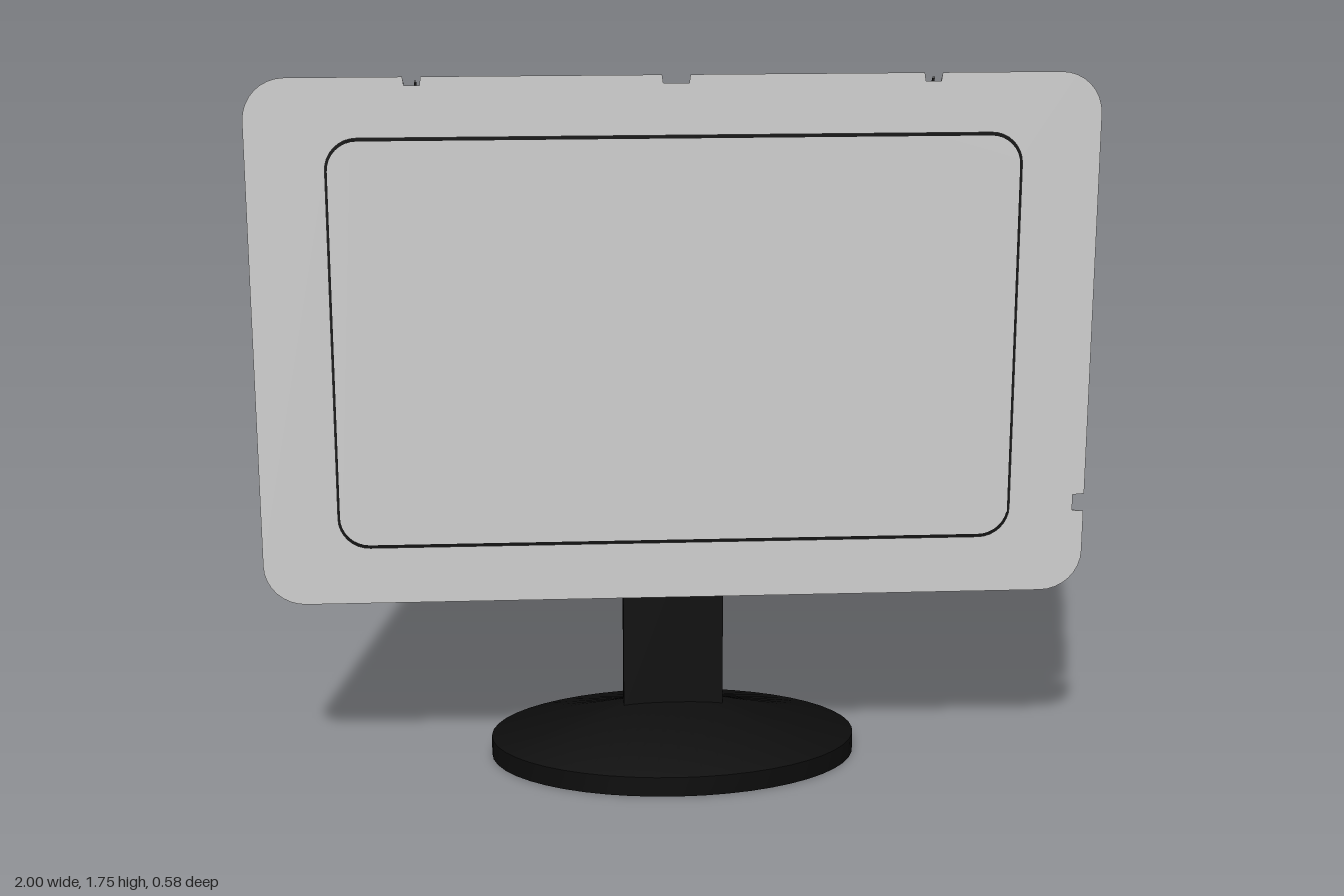
import * as THREE from 'three';
import { toCreasedNormals } from 'three/addons/utils/BufferGeometryUtils.js';

const mat = (name, color, side = THREE.FrontSide) => {
  const m = new THREE.MeshStandardMaterial({ color, side });
  m.name = name;
  return m;
};

// Counter-clockwise rounded rectangle; notches cut into the top and the left edge
function outline(hw, y0, y1, r, notch = 0) {
  const pts = [];
  const corner = (cx, cy, start) => {
    for (let i = 0; i <= 8; i++) {
      const a = start + (i / 8) * Math.PI / 2;
      pts.push(new THREE.Vector2(cx + r * Math.cos(a), cy + r * Math.sin(a)));
    }
  };
  corner(-hw + r, y0 + r, Math.PI);
  corner(hw - r, y0 + r, -Math.PI / 2);
  for (const [dy, d] of [[-0.022, 0], [-0.02, 1], [0.02, 1], [0.022, 0]])
    pts.push(new THREE.Vector2(hw - d * notch * 1.4, 0.69 + dy));
  corner(hw - r, y1 - r, 0);
  for (const x of [0.6, 0, -0.61]) {
    const w = x ? 0.018 : 0.03;
    for (const [dx, d] of [[w + 0.003, 0], [w, 1], [-w, 1], [-w - 0.003, 0]])
      pts.push(new THREE.Vector2(Math.min(hw - r, Math.max(r - hw, x + dx)), y1 - d * notch));
  }
  corner(-hw + r, y1 - r, Math.PI / 2);
  return pts;
}

const atZ = (pts, z) => pts.map(p => new THREE.Vector3(p.x, p.y, z));

// Skin between closed cross-sections of equal point count
function loft(rings, crease = 0.5) {
  const n = rings[0].length, index = [];
  for (let k = 0; k < rings.length - 1; k++)
    for (let i = 0; i < n; i++) {
      const a = k * n + i, b = k * n + (i + 1) % n;
      index.push(a, a + n, b, b, a + n, b + n);
    }
  const g = new THREE.BufferGeometry().setFromPoints(rings.flat());
  g.setIndex(index);
  return toCreasedNormals(g, crease);
}

export function createModel() {
  const group = new THREE.Group();
  const silver = mat('silver plastic', 0xd0d0d0, THREE.DoubleSide);
  const black = mat('black plastic', 0x0c0c0c);
  const seam = mat('dark seam', 0x3c3c3c);
  const add = (name, geometry, material, x = 0, y = 0, z = 0) => {
    const m = new THREE.Mesh(geometry, material);
    m.name = name;
    m.position.set(x, y, z);
    group.add(m);
    return m;
  };

  // Display housing, tapering towards the back
  const front = outline(1, 0.465, 1.745, 0.1, 0.02);
  add('housing', loft([
    atZ(front, 0.145),
    atZ(outline(0.92, 0.498, 1.713, 0.1, 0.012), 0.11),
    atZ(outline(0.81, 0.525, 1.686, 0.09), 0.08),
    atZ(outline(0.65, 0.59, 1.65, 0.04), 0.04),
    atZ(outline(0.62, 0.625, 1.64, 0.015), 0.03),
  ]), silver);

  // Front frame, screen and the narrow gap between them
  const bezel = new THREE.Shape(front);
  bezel.holes.push(new THREE.Path(outline(0.816, 0.606, 1.604, 0.075).reverse()));
  add('bezel', new THREE.ShapeGeometry(bezel), silver, 0, 0, 0.145);
  add('screen', new THREE.ShapeGeometry(
    new THREE.Shape(outline(0.811, 0.613, 1.596, 0.07))), silver, 0, 0, 0.144);
  add('screenGap', new THREE.ShapeGeometry(
    new THREE.Shape(outline(0.83, 0.595, 1.615, 0.08))), black, 0, 0, 0.141);

  // Rear panel
  add('rearPanel', new THREE.BoxGeometry(1.24, 1.02, 0.006), black, 0, 1.13, 0.029);

  // Seams and vent slit on the sloping top
  const slope = -Math.atan2(0.105, 0.115);
  for (const x of [-0.632, -0.602, 0.602, 0.632])
    add('topSeam', new THREE.BoxGeometry(0.005, 0.005, 0.13), seam, x, 1.688, 0.083).rotation.x = slope;
  add('topSlit', new THREE.BoxGeometry(1.02, 0.004, 0.008), seam, 0, 1.691, 0.085).rotation.x = slope;

  // Bulging neck between panel and rear block
  const neck = new THREE.Shape();
  neck.moveTo(-0.4, 0.17);
  neck.lineTo(-0.41, 0.14);
  neck.quadraticCurveTo(-0.46, 0.08, -0.46, -0.03);
  neck.lineTo(0.46, -0.03);
  neck.quadraticCurveTo(0.46, 0.08, 0.41, 0.14);
  neck.lineTo(0.4, 0.17);
  const neckGeo = new THREE.ExtrudeGeometry(neck, { depth: 0.32, bevelEnabled: false });
  neckGeo.rotateX(-Math.PI / 2);
  add('rearNeck', toCreasedNormals(neckGeo, 0.5), black, 0, 0.8, 0);

  // Rear block with a rounded front edge
  const block = [];
  for (let i = 0; i <= 5; i++) {
    const a = (i / 5) * Math.PI / 2, inset = 0.04 * (1 - Math.sin(a));
    block.push(atZ(outline(0.6 - inset, 0.74 + inset, 1.16 - inset, 0.05 - inset * 0.5),
      -0.155 - 0.04 * (1 - Math.cos(a))));
  }
  block.push(atZ(outline(0.6, 0.74, 1.16, 0.05), -0.28));
  const centre = z => block[0].map(() => new THREE.Vector3(0, 0.95, z));
  add('rearBlock', loft([centre(-0.155), ...block, centre(-0.28)]), black);

  // Stand post
  add('post', new THREE.BoxGeometry(0.25, 0.7, 0.046), black, 0, 0.47, 0.002);

  // Oval foot rising to the post
  const oval = (rx, rz, y) => Array.from({ length: 48 }, (_, i) => {
    const a = (i / 48) * Math.PI * 2;
    return new THREE.Vector3(rx * Math.cos(a), y, -rz * Math.sin(a));
  });
  add('foot', loft([
    oval(0, 0, 0.14), oval(0.13, 0.025, 0.14), oval(0.46, 0.29, 0.05),
    oval(0.46, 0.29, 0), oval(0, 0, 0),
  ]), black);

  return group;
}
